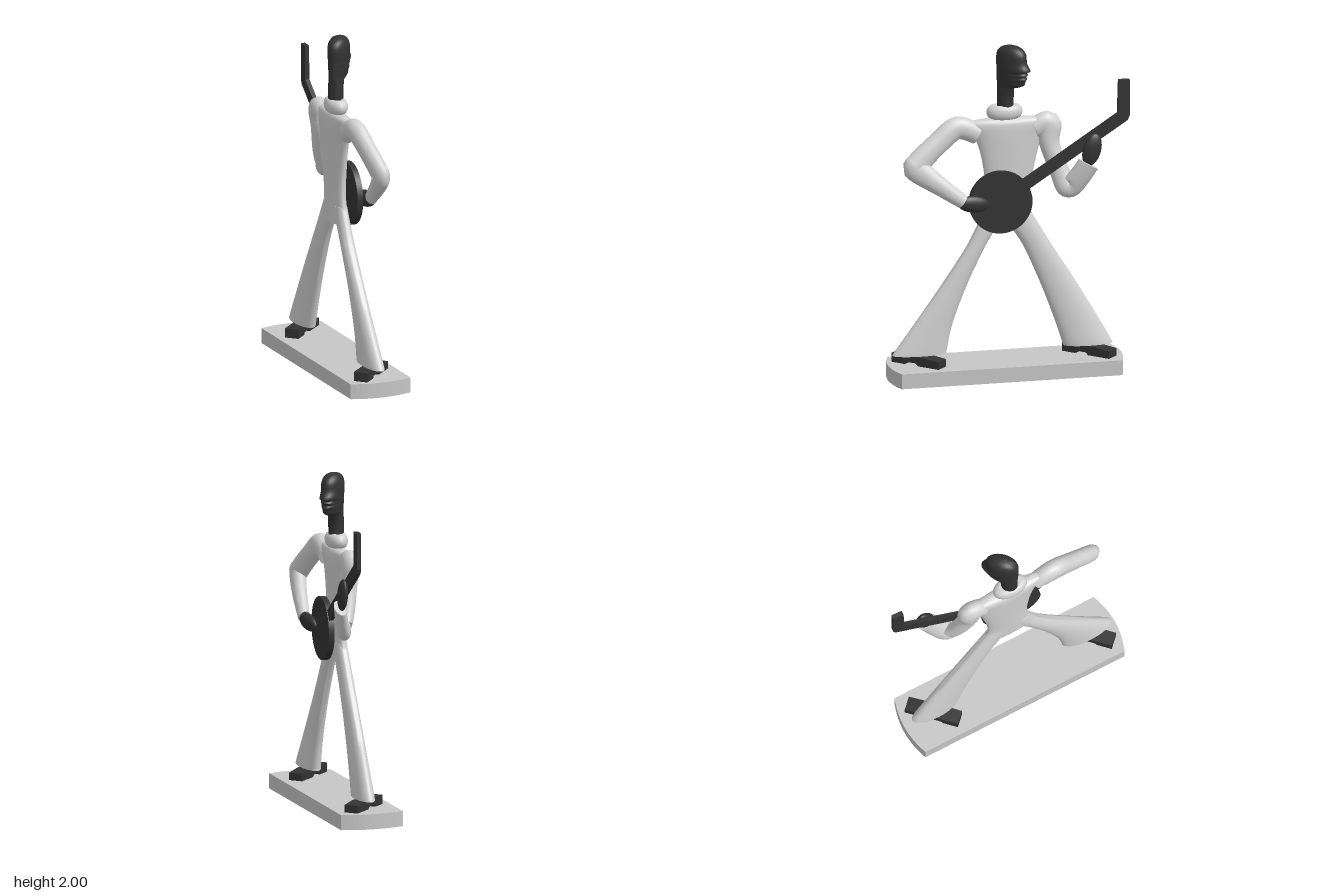
import * as THREE from 'three';
import { toCreasedNormals } from 'three/addons/utils/BufferGeometryUtils.js';

const light = new THREE.MeshStandardMaterial({ color: 0xd2d2d2 });
light.name = 'light grey';
const stone = new THREE.MeshStandardMaterial({ color: 0xc6c6c6 });
stone.name = 'base grey';
const dark = new THREE.MeshStandardMaterial({ color: 0x333333 });
dark.name = 'charcoal';

const SIDES = 28;

function part(parent, name, geometry, material) {
  const mesh = new THREE.Mesh(geometry, material);
  mesh.name = name;
  parent.add(mesh);
  return mesh;
}

// Smoothly interpolates rows of numbers, adding steps between neighbours
function smooth(rows, steps) {
  const out = [];
  const at = (i) => rows[Math.min(Math.max(i, 0), rows.length - 1)];
  for (let i = 0; i < rows.length - 1; i++) {
    for (let s = 0; s < steps; s++) {
      const t = s / steps;
      out.push(rows[i].map((b, k) => {
        const a = at(i - 1)[k], c = at(i + 1)[k], d = at(i + 2)[k];
        return b + 0.5 * t * (c - a + t * (2 * a - 5 * b + 4 * c - d + t * (3 * (b - c) + d - a)));
      }));
    }
  }
  out.push(rows[rows.length - 1]);
  return out;
}

// Skins a row of rings and caps both ends; the winding is made to face outward
function loft(rings) {
  const n = rings[0].length, pts = rings.flat(), index = [];
  for (let i = 0; i < rings.length - 1; i++) {
    for (let j = 0; j < n; j++) {
      const a = i * n + j, b = i * n + (j + 1) % n;
      index.push(a, a + n, b, b, a + n, b + n);
    }
  }
  const last = (rings.length - 1) * n;
  for (let j = 1; j < n - 1; j++) {
    index.push(0, j, j + 1, last, last + j + 1, last + j);
  }
  let volume = 0;
  for (let i = 0; i < index.length; i += 3) {
    const [a, b, c] = [0, 1, 2].map((k) => pts[index[i + k]]);
    volume += a.dot(b.clone().cross(c));
  }
  if (volume < 0) index.reverse();
  const g = new THREE.BufferGeometry().setFromPoints(pts);
  g.setIndex(index);
  return toCreasedNormals(g, 0.95);
}

function ring(centre, u, v) {
  return Array.from({ length: SIDES }, (_, j) => {
    const t = (j / SIDES) * Math.PI * 2;
    return centre.clone().addScaledVector(u, Math.cos(t)).addScaledVector(v, Math.sin(t));
  });
}

// Horizontal ellipses: [y, xMin, xMax, zMin, zMax]
function stack(rows, steps) {
  return loft(smooth(rows, steps).map(([y, x0, x1, z0, z1]) => ring(
    new THREE.Vector3((x0 + x1) / 2, y, (z0 + z1) / 2),
    new THREE.Vector3((x1 - x0) / 2, 0, 0),
    new THREE.Vector3(0, 0, (z1 - z0) / 2))));
}

// Sleeve along a bent path: [x, y, z, radius across the bend, radius in x]
function sleeve(rows) {
  const s = smooth(rows, 6);
  return loft(s.map(([x, y, z, r, rx], i) => {
    const p = s[Math.max(i - 1, 0)], q = s[Math.min(i + 1, s.length - 1)];
    const across = new THREE.Vector3(0, q[2] - p[2], p[1] - q[1]).normalize();
    return ring(new THREE.Vector3(x, y, z), across.multiplyScalar(r), new THREE.Vector3(rx, 0, 0));
  }));
}

// Outline in x and y, thickened evenly around z = 0
function plate(points, depth) {
  const shape = new THREE.Shape(points.map(([x, y]) => new THREE.Vector2(x, y)));
  return new THREE.ExtrudeGeometry(shape, { depth, bevelEnabled: false }).translate(0, 0, -depth / 2);
}

export function createModel() {
  const model = new THREE.Group();
  model.name = 'musician figure';

  // Base with bowed ends
  const outline = new THREE.Shape();
  outline.moveTo(-0.19, -0.675);
  outline.quadraticCurveTo(0, -0.75, 0.19, -0.675);
  outline.lineTo(0.19, 0.645);
  outline.quadraticCurveTo(0, 0.715, -0.19, 0.645);
  const baseGeo = new THREE.ExtrudeGeometry(outline, { depth: 0.09, bevelEnabled: false, curveSegments: 12 });
  part(model, 'base', baseGeo.rotateX(-Math.PI / 2), stone);

  // Shoes, both turned the same way
  const shoeProfile = [[-0.162, 0.09], [-0.07, 0.09], [-0.06, 0.105], [0.0, 0.105], [0.02, 0.09],
    [0.162, 0.09], [0.162, 0.135], [0.06, 0.145], [-0.162, 0.145]];
  for (const [name, z] of [['leftShoe', 0.53], ['rightShoe', -0.49]]) {
    const shoe = part(model, name, plate(shoeProfile, 0.085), dark);
    shoe.rotation.y = Math.PI / 4;
    shoe.position.z = z;
  }

  // Flared trouser legs
  part(model, 'frontLeg', stack([
    [0.15, -0.055, 0.055, 0.363, 0.69], [0.18, -0.055, 0.055, 0.36, 0.67],
    [0.33, -0.049, 0.049, 0.327, 0.56], [0.55, -0.043, 0.043, 0.245, 0.402],
    [0.77, -0.04, 0.04, 0.14, 0.254], [0.88, -0.038, 0.038, 0.075, 0.195],
    [1.0, -0.036, 0.036, 0.0, 0.14]], 4), light);
  part(model, 'backLeg', stack([
    [0.15, -0.055, 0.055, -0.63, -0.335], [0.18, -0.055, 0.055, -0.615, -0.325],
    [0.33, -0.049, 0.049, -0.53, -0.275], [0.55, -0.043, 0.043, -0.4, -0.192],
    [0.77, -0.04, 0.04, -0.262, -0.095], [0.88, -0.038, 0.038, -0.197, -0.028],
    [1.0, -0.036, 0.036, -0.127, 0.03]], 4), light);

  // Torso
  part(model, 'torso', stack([
    [0.89, -0.037, 0.037, -0.188, 0.187], [1.0, -0.04, 0.04, -0.135, 0.143],
    [1.12, -0.043, 0.043, -0.135, 0.13], [1.24, -0.046, 0.046, -0.157, 0.142],
    [1.36, -0.049, 0.049, -0.185, 0.165], [1.45, -0.051, 0.051, -0.21, 0.2],
    [1.51, -0.05, 0.05, -0.25, 0.25], [1.54, -0.042, 0.042, -0.24, 0.24],
    [1.555, -0.025, 0.025, -0.14, 0.15]], 4), light);

  // Arms
  part(model, 'leftArm', sleeve([
    [0, 1.465, 0.18, 0.06, 0.048], [0, 1.51, 0.3, 0.068, 0.055], [0.02, 1.43, 0.42, 0.066, 0.052],
    [0.045, 1.32, 0.545, 0.072, 0.05], [0.055, 1.285, 0.55, 0.074, 0.048],
    [0.085, 1.185, 0.42, 0.055, 0.042], [0.105, 1.09, 0.29, 0.042, 0.035]]), light);
  part(model, 'rightArm', sleeve([
    [0, 1.48, -0.16, 0.06, 0.048], [0, 1.5, -0.245, 0.075, 0.055], [0.01, 1.39, -0.248, 0.06, 0.052],
    [0.035, 1.245, -0.295, 0.057, 0.048], [0.065, 1.145, -0.335, 0.066, 0.045],
    [0.08, 1.14, -0.365, 0.068, 0.042], [0.105, 1.195, -0.405, 0.066, 0.038],
    [0.132, 1.28, -0.455, 0.066, 0.034]]), light);

  // Hands
  const ball = new THREE.SphereGeometry(1, 24, 16);
  const leftHand = part(model, 'leftHand', ball, dark);
  leftHand.scale.set(0.03, 0.05, 0.1);
  leftHand.position.set(0.1, 1.07, 0.225);
  leftHand.rotation.set(-0.15, 0.15, 0);
  const rightHand = part(model, 'rightHand', ball, dark);
  rightHand.scale.set(0.028, 0.1, 0.055);
  rightHand.position.set(0.124, 1.362, -0.478);
  rightHand.rotation.x = -0.25;

  // Rolled collar
  const collar = part(model, 'collar', new THREE.TorusGeometry(0.065, 0.043, 16, 36).rotateX(Math.PI / 2), light);
  collar.scale.x = 0.58;
  collar.position.set(-0.002, 1.592, 0.017);

  // Head and neck, face profile toward local +x
  const head = part(model, 'head', stack([
    [1.56, -0.05, 0.05, 0.045], [1.735, -0.05, 0.055, 0.044], [1.752, -0.052, 0.095, 0.045],
    [1.768, -0.053, 0.13, 0.048], [1.79, -0.054, 0.134, 0.051], [1.805, -0.054, 0.147, 0.053],
    [1.818, -0.055, 0.139, 0.054], [1.832, -0.055, 0.152, 0.055], [1.843, -0.055, 0.142, 0.056],
    [1.855, -0.055, 0.168, 0.057], [1.872, -0.056, 0.162, 0.058], [1.9, -0.056, 0.143, 0.058],
    [1.94, -0.055, 0.142, 0.058], [1.97, -0.042, 0.126, 0.051], [1.99, -0.015, 0.098, 0.036],
    [2.0, 0.025, 0.06, 0.012]].map(([y, a, b, w]) => [y, a, b, -w, w]), 2), dark);
  head.rotation.y = Math.PI / 4;
  head.position.set(0, 0, 0.013);

  // Banjo, built facing local +z and then turned toward +x
  const banjo = new THREE.Group();
  banjo.name = 'banjo';
  part(banjo, 'banjoDrum', new THREE.CylinderGeometry(0.187, 0.187, 0.035, 48).rotateX(Math.PI / 2), dark);
  part(banjo, 'banjoNeck', plate([[0.1, 0.06], [0.165, 0.072], [0.752, 0.462], [0.764, 0.49],
    [0.764, 0.707], [0.698, 0.707], [0.692, 0.505], [0.1, 0.109]], 0.026), dark);
  banjo.rotation.y = Math.PI / 2 - 0.045;
  banjo.position.set(0.066, 1.063, 0.056);
  model.add(banjo);

  return model;
}
